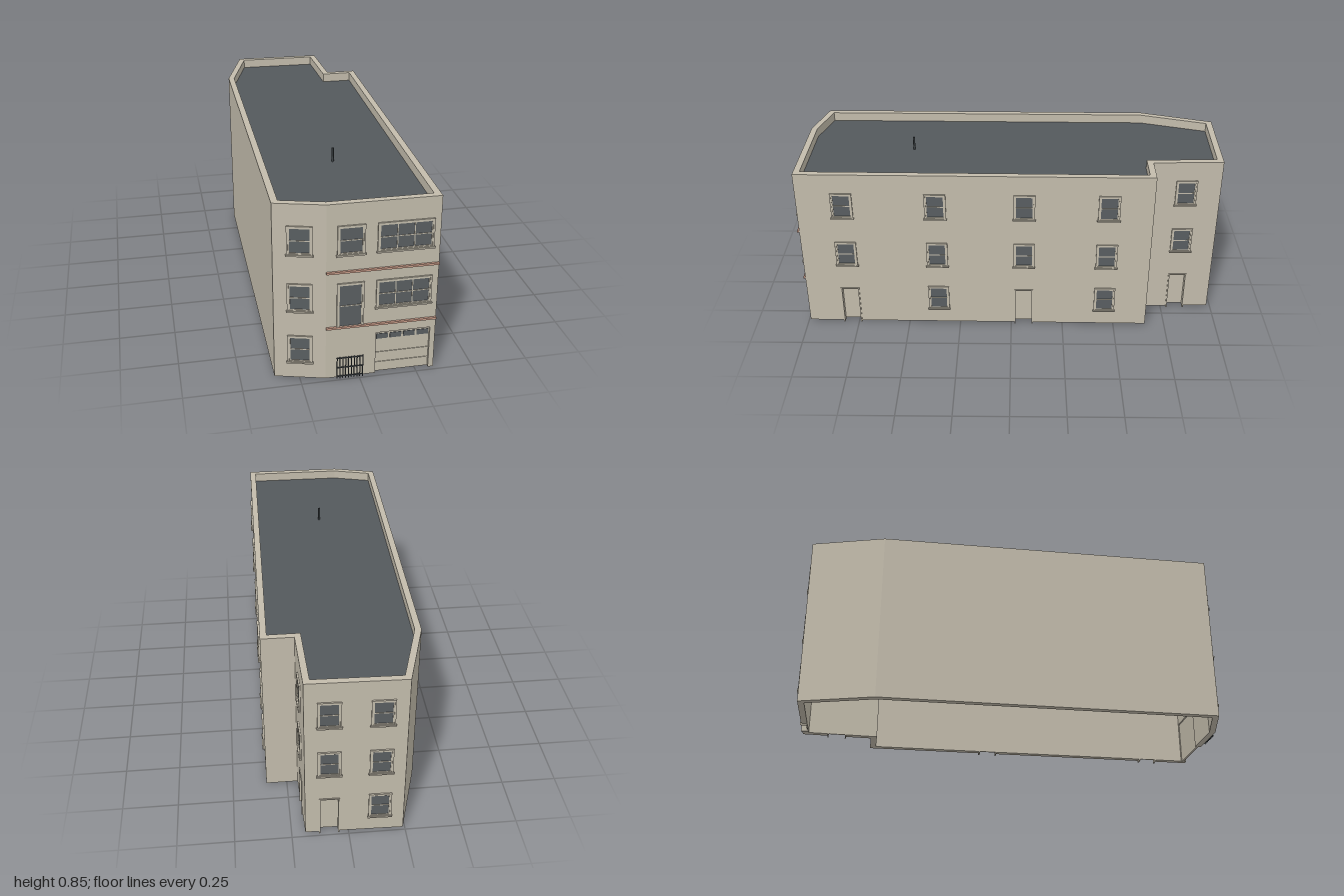
import * as THREE from 'three';

const wallMat = new THREE.MeshStandardMaterial({ color: 0xc3bcac });
wallMat.name = 'beige render';
const glassMat = new THREE.MeshStandardMaterial({ color: 0x595e61 });
glassMat.name = 'grey glass';
const roofMat = new THREE.MeshStandardMaterial({ color: 0x54595c, side: THREE.DoubleSide });
roofMat.name = 'roof grey';
const bandMat = new THREE.MeshStandardMaterial({ color: 0xc79b88 });
bandMat.name = 'terracotta';
const ironMat = new THREE.MeshStandardMaterial({ color: 0x3c4245 });
ironMat.name = 'dark iron';

const BASE = 0.008, TOP = 0.823, ROOF = 0.78, THICK = 0.029;

// Footprint corners [x, z], left to right as seen from outside
const corners = [
  [-0.355, 0.93], [-0.145, 0.988], [0.328, 0.99], [0.345, -0.655],
  [0.2, -0.655], [0.19, -0.982], [-0.24, -0.992], [-0.342, -0.65],
];

// Box given by its limits
function box(parent, name, mat, x0, x1, y0, y1, z0, z1) {
  const mesh = new THREE.Mesh(new THREE.BoxGeometry(x1 - x0, y1 - y0, z1 - z0), mat);
  mesh.position.set((x0 + x1) / 2, (y0 + y1) / 2, (z0 + z1) / 2);
  mesh.name = name;
  parent.add(mesh);
  return mesh;
}

// Rectangular border made of four strips
function border(parent, name, x0, x1, y0, y1, w, z0, z1) {
  box(parent, name, wallMat, x0, x0 + w, y0, y1, z0, z1);
  box(parent, name, wallMat, x1 - w, x1, y0, y1, z0, z1);
  box(parent, name, wallMat, x0 + w, x1 - w, y1 - w, y1, z0, z1);
  box(parent, name, wallMat, x0 + w, x1 - w, y0, y0 + w, z0, z1);
}

// Sash window with casing, sill, mullions and a middle rail
function addWindow(wall, x, y0, y1, width = 0.1, columns = 1, sill = true) {
  const g = new THREE.Group();
  g.name = 'window';
  const x0 = x - width / 2, x1 = x + width / 2, e = 0.011;
  border(g, 'casing', x0, x1, y0, y1, 0.007, 0, 0.007);
  border(g, 'sash', x0 + 0.007, x1 - 0.007, y0 + 0.007, y1 - 0.007, 0.005, 0, 0.004);
  box(g, 'glass', glassMat, x0 + e, x1 - e, y0 + e, y1 - e, 0, 0.0015);
  const mid = (y0 + y1) / 2;
  box(g, 'rail', wallMat, x0 + e, x1 - e, mid - 0.002, mid + 0.002, 0, 0.004);
  for (let i = 1; i < columns; i++) {
    const m = x0 + e + (width - 2 * e) * i / columns;
    box(g, 'mullion', wallMat, m - 0.002, m + 0.002, y0 + e, y1 - e, 0, 0.004);
  }
  if (sill) box(g, 'sill', wallMat, x0 - 0.004, x1 + 0.004, y0 - 0.003, y0 + 0.004, 0, 0.011);
  wall.add(g);
}

// Recessed door whose casing reaches the ground
function addDoor(wall, { x0, x1, top }) {
  const g = new THREE.Group();
  g.name = 'door';
  box(g, 'doorPanel', wallMat, x0, x1, BASE, top, -THICK, -THICK + 0.006);
  box(g, 'doorJamb', wallMat, x0, x0 + 0.006, 0, top, -THICK, 0.004);
  box(g, 'doorJamb', wallMat, x1 - 0.006, x1, 0, top, -THICK, 0.004);
  box(g, 'doorHead', wallMat, x0 + 0.006, x1 - 0.006, top - 0.006, top, -THICK, 0.004);
  wall.add(g);
}

// Sectional garage door with four small panes
function addGarage(wall, { x0, x1, top }) {
  const g = new THREE.Group();
  g.name = 'garageDoor';
  const back = -0.018, face = -0.012;
  box(g, 'garageBacking', wallMat, x0, x1, BASE, top, back - 0.004, back);
  const seams = [BASE, 0.055, 0.105, top];
  for (let i = 0; i < 3; i++)
    box(g, 'garageSection', wallMat, x0, x1, seams[i] + 0.001, seams[i + 1] - 0.001, back, face);
  const pitch = (x1 - x0) / 4;
  for (let i = 0; i < 4; i++) {
    const c = x0 + pitch * (i + 0.5);
    box(g, 'garagePane', glassMat, c - 0.025, c + 0.025, 0.172, 0.197, face, face + 0.002);
  }
  wall.add(g);
}

// Iron gate of vertical bars and three rails
function addGate(wall, x0, x1) {
  const g = new THREE.Group();
  g.name = 'gate';
  for (let i = 0; i <= 9; i++) {
    const c = x0 + 0.002 + (x1 - x0 - 0.004) * i / 9;
    box(g, 'gateBar', ironMat, c - 0.0017, c + 0.0017, 0.003, 0.108, 0.002, 0.006);
  }
  for (const y of [0.014, 0.057, 0.104])
    box(g, 'gateRail', ironMat, x0, x1, y - 0.002, y + 0.002, 0.002, 0.006);
  wall.add(g);
}

export function createModel() {
  const model = new THREE.Group();
  model.name = 'building';
  const n = corners.length;
  const angle = corners.map(([x, z], i) => {
    const [bx, bz] = corners[(i + 1) % n];
    return Math.atan2(z - bz, bx - x);
  });
  // Mitre of the inner face at each corner
  const mitre = angle.map((a, i) => {
    const d = a - angle[(i + n - 1) % n];
    return THICK * Math.tan(Math.atan2(Math.sin(d), Math.cos(d)) / 2);
  });

  // Openings in each wall, measured along it
  const door = (c) => ({ x0: c - 0.045, x1: c + 0.045, top: 0.203 });
  const garage = { x0: 0.215, x1: 0.45, top: 0.21 };
  const openings = { 1: [garage], 2: [door(0.21), door(1.05)], 4: [door(0.165)], 5: [door(0.105)] };

  // Walls: mitred blocks around the openings
  const walls = corners.map(([x, z], i) => {
    const [bx, bz] = corners[(i + 1) % n];
    const length = Math.hypot(bx - x, bz - z);
    const wall = new THREE.Group();
    wall.name = 'wall';
    wall.position.set(x, 0, z);
    wall.rotation.y = angle[i];
    const block = (t0, t1, y0) => {
      const mesh = box(wall, 'wallBlock', wallMat, t0, t1, y0, TOP, -THICK, 0);
      const p = mesh.geometry.attributes.position;
      for (let k = 0; k < p.count; k++) {
        if (p.getZ(k) > 0) continue;
        if (t0 === 0 && p.getX(k) < 0) p.setX(k, p.getX(k) + mitre[i]);
        else if (t1 === length && p.getX(k) > 0) p.setX(k, p.getX(k) - mitre[(i + 1) % n]);
      }
      mesh.geometry.computeVertexNormals();
    };
    let start = 0;
    for (const o of openings[i] || []) {
      block(start, o.x0, BASE);
      block(o.x0, o.x1, o.top);
      if (o === garage) addGarage(wall, o);
      else addDoor(wall, o);
      start = o.x1;
    }
    block(start, length, BASE);
    model.add(wall);
    return wall;
  });

  // Windows by storey
  const rows = [[0.085, 0.217], [0.334, 0.465], [0.596, 0.727]];
  const [bay, front, side, , wing, back] = walls;
  rows.forEach(([y0, y1], r) => {
    addWindow(bay, 0.11, y0, y1, 0.105);
    for (const t of [0.64, 1.44]) addWindow(side, t, y0, y1);
    addWindow(back, 0.325, y0, y1);
    if (r === 0) return;
    for (const t of [0.21, 1.05]) addWindow(side, t, y0, y1);
    addWindow(wing, 0.165, y0, y1);
    addWindow(back, 0.105, y0, y1);
    addWindow(front, 0.328, y0, y1, 0.236, 3);
  });
  addWindow(front, 0.102, 0.594, 0.727, 0.115);
  addWindow(front, 0.102, 0.25, 0.465, 0.115, 1, false);

  // Front bands and gate
  for (const y of [0.252, 0.514]) box(front, 'band', bandMat, 0, 0.473, y, y + 0.009, 0, 0.01);
  addGate(front, 0.047, 0.162);

  // Flat roof sunk behind the parapet
  const roofShape = new THREE.Shape(corners.map(([x, z], i) => {
    const c = Math.cos(angle[i]), s = Math.sin(angle[i]);
    return new THREE.Vector2(x + mitre[i] * c - THICK * s, -(z - mitre[i] * s - THICK * c));
  }));
  const roof = new THREE.Mesh(new THREE.ShapeGeometry(roofShape).rotateX(-Math.PI / 2), roofMat);
  roof.position.y = ROOF;
  roof.name = 'roof';
  model.add(roof);

  // Roof vent
  const vent = new THREE.Mesh(new THREE.CylinderGeometry(0.005, 0.005, 0.845 - ROOF, 12), ironMat);
  vent.position.set(-0.01, (0.845 + ROOF) / 2, 0.47);
  vent.name = 'ventPipe';
  model.add(vent);
  return model;
}
